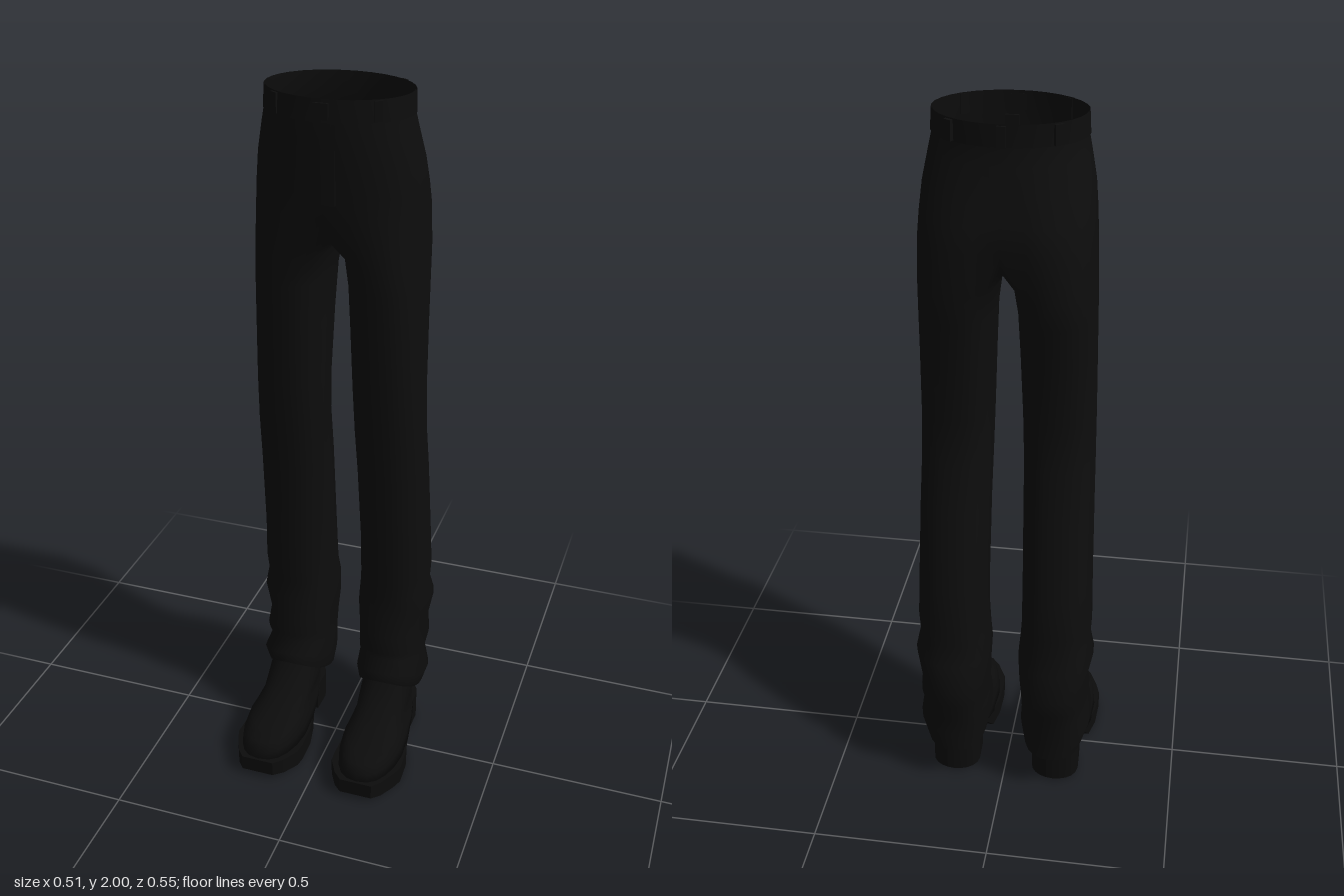
import * as THREE from 'three';
import { mergeGeometries, mergeVertices } from 'three/addons/utils/BufferGeometryUtils.js';

const cloth = new THREE.MeshStandardMaterial({ color: 0x0d0d0d, side: THREE.DoubleSide });
cloth.name = 'black cloth';
const leather = new THREE.MeshStandardMaterial({ color: 0x0c0c0c, side: THREE.DoubleSide });
leather.name = 'black leather';

const N = 24;
const pw = (v, e) => Math.sign(v) * Math.abs(v) ** e;

// Skin a list of rings of points
function loft(rings, { closed = true, caps = false } = {}) {
  const n = rings[0].length, pos = rings.flat(2), idx = [];
  const segs = closed ? n : n - 1;
  for (let j = 0; j < rings.length - 1; j++) {
    for (let i = 0; i < segs; i++) {
      const k = (i + 1) % n, a = j * n + i, b = j * n + k;
      idx.push(a, b, a + n, b, b + n, a + n);
    }
  }
  if (caps) {
    for (const j of [0, rings.length - 1]) {
      const c = pos.length / 3;
      for (let d = 0; d < 3; d++) pos.push(rings[j].reduce((s, p) => s + p[d], 0) / n);
      for (let i = 0; i < n; i++) {
        const a = j * n + i, b = j * n + (i + 1) % n;
        if (j === 0) idx.push(c, b, a); else idx.push(c, a, b);
      }
    }
  }
  const g = new THREE.BufferGeometry();
  g.setAttribute('position', new THREE.Float32BufferAttribute(pos, 3));
  g.setIndex(idx);
  g.computeVertexNormals();
  return g;
}

// Copy across x = 0 with the corner order reversed
function mirrored(geo) {
  const g = geo.clone().scale(-1, 1, 1);
  const ix = g.index.array;
  for (let i = 0; i < ix.length; i += 3) [ix[i], ix[i + 1]] = [ix[i + 1], ix[i]];
  g.computeVertexNormals();
  return g;
}

// Closed horizontal ring: inner x, outer x, front z, back z, squareness
function ring(x0, x1, zf, zb, e, yAt) {
  return Array.from({ length: N }, (_, i) => {
    const a = (i / N) * Math.PI * 2;
    const z = (zf + zb) / 2 + ((zf - zb) / 2) * pw(Math.sin(a), e);
    return [(x0 + x1) / 2 + ((x1 - x0) / 2) * pw(Math.cos(a), e), yAt(z), z];
  });
}

// Half ring of the hips, from back centre round the side to front centre
function hipHalf([y, rx, zf, zb, cleft, e]) {
  return Array.from({ length: 17 }, (_, i) => {
    const p = -Math.PI / 2 + (i / 16) * Math.PI;
    const x = i % 16 ? rx * pw(Math.cos(p), e) : 0;
    const dip = p < 0 ? cleft * Math.max(0, 1 - x / 0.09) : 0;
    return [x, y, (zf + zb) / 2 + ((zf - zb) / 2) * pw(Math.sin(p), e) + dip];
  });
}

function trouserGeometry() {
  // y, half width, front z, back z, cleft, squareness
  const hips = [
    [2.0, 0.188, 0.11, -0.168, 0, 1], [1.95, 0.19, 0.113, -0.165, 0, 1],
    [1.9, 0.2, 0.112, -0.175, 0, 0.95], [1.83, 0.213, 0.109, -0.195, 0.005, 0.88],
    [1.76, 0.219, 0.104, -0.215, 0.015, 0.8], [1.7, 0.222, 0.1, -0.228, 0.02, 0.74],
  ].map(hipHalf);
  const seat = hips[hips.length - 1];

  // Leg top: the hip line outside, and the crotch seam between the legs
  const top = Array.from({ length: N }, (_, i) => {
    if (i <= 8) return seat[i + 8];
    if (i >= 16) return seat[i - 16];
    const t = (i - 8) / 8, f = seat[16][2], b = seat[0][2];
    return [0, 1.7 - 0.09 * Math.sin(t * Math.PI) ** 0.6, (f + b) / 2 + ((f - b) / 2) * Math.cos(t * Math.PI)];
  });

  // y, inner x, outer x, front z, back z, rise of the front edge
  const legs = [
    [1.58, 0.017, 0.226, 0.09, -0.22, 0], [1.5, 0.028, 0.228, 0.083, -0.203, 0],
    [1.38, 0.033, 0.23, 0.073, -0.182, 0], [1.2, 0.039, 0.233, 0.06, -0.16, 0],
    [1.07, 0.043, 0.235, 0.05, -0.166, 0], [0.93, 0.046, 0.238, 0.033, -0.2, 0],
    [0.7, 0.049, 0.243, 0.008, -0.235, 0], [0.58, 0.049, 0.246, 0.006, -0.252, 0],
    [0.52, 0.045, 0.243, -0.007, -0.243, 0], [0.465, 0.04, 0.255, 0, -0.262, 0],
    [0.38, 0.045, 0.238, 0.004, -0.276, 0.01], [0.32, 0.048, 0.245, 0.016, -0.265, 0.02],
    [0.26, 0.05, 0.234, 0.006, -0.25, 0.055], [0.2, 0.045, 0.252, 0.03, -0.243, 0.08],
    [0.135, 0.055, 0.234, 0.032, -0.24, 0.115],
  ].map(([y, x0, x1, zf, zb, rise]) =>
    ring(x0, x1, zf, zb, 0.86, z => y + rise * ((z - zb) / (zf - zb)) ** 2));

  const half = [loft(hips, { closed: false }), loft([top, ...legs])];
  const g = mergeGeometries([...half, ...half.map(mirrored)]);
  g.deleteAttribute('normal');
  const whole = mergeVertices(g, 1e-4);
  whole.computeVertexNormals();
  return whole;
}

// Boot upper: stacked rings, the front drawing back up the instep
function upperGeometry() {
  const rows = [
    [0.4, 0.085, 0.205, -0.04, -0.2], [0.28, 0.08, 0.215, -0.015, -0.2],
    [0.23, 0.076, 0.22, 0.005, -0.198], [0.18, 0.072, 0.224, 0.065, -0.195],
    [0.145, 0.068, 0.229, 0.12, -0.192], [0.125, 0.066, 0.234, 0.21, -0.19],
    [0.112, 0.062, 0.24, 0.25, -0.19], [0.09, 0.058, 0.246, 0.268, -0.19],
    [0.055, 0.056, 0.249, 0.272, -0.19],
  ];
  return loft(rows.map(([y, x0, x1, zf, zb], j) =>
    ring(x0, x1, zf, zb, 0.82, () => y).map(([x, yy, z]) => {
      // Narrow the heel half and lift the bottom edge over the arch
      const k = THREE.MathUtils.clamp((0.12 - z) / 0.25, 0, 1) * (j > 3 ? 1 : 0);
      const lift = j > 6 ? Math.max(yy, THREE.MathUtils.clamp(0.055 + (0.02 - z) * 0.5, 0.055, 0.095)) : yy;
      return [0.15 + (x - 0.15) * (1 - 0.22 * k), lift, z];
    })), { caps: true });
}

// Sole: box sections from toe to arch (z, inner x, outer x, bottom, top)
function soleGeometry() {
  const g = loft([
    [0.278, 0.105, 0.2, 0.022, 0.068], [0.25, 0.08, 0.222, 0.016, 0.065],
    [0.2, 0.054, 0.245, 0.01, 0.062], [0.165, 0.051, 0.256, 0.006, 0.06],
    [0.09, 0.053, 0.252, 0.004, 0.06], [0.03, 0.065, 0.237, 0.006, 0.062],
    [-0.01, 0.075, 0.228, 0.05, 0.08], [-0.07, 0.082, 0.22, 0.08, 0.105],
  ].map(([z, x0, x1, b, t]) => [[x1, t, z], [x1, b, z], [x0, b, z], [x0, t, z]]), { caps: true }).toNonIndexed();
  g.computeVertexNormals();
  return g;
}

// Heel block, rounded at the back
function heelGeometry() {
  const s = new THREE.Shape();
  s.moveTo(-0.068, 0.065);
  s.lineTo(0.068, 0.065);
  s.lineTo(0.07, 0.13);
  s.bezierCurveTo(0.066, 0.205, -0.066, 0.205, -0.07, 0.13);
  s.closePath();
  return new THREE.ExtrudeGeometry(s, { depth: 0.09, bevelEnabled: false, curveSegments: 10 })
    .rotateX(-Math.PI / 2).translate(0.15, 0.012, 0);
}

export function createModel() {
  const model = new THREE.Group();
  model.name = 'trousersAndBoots';
  const add = (name, geo, mat, parent = model) => {
    const m = new THREE.Mesh(geo, mat);
    m.name = name;
    parent.add(m);
    return m;
  };

  add('trousers', trouserGeometry(), cloth);

  // Waistband, slightly proud of the hips
  const band = loft([[2.0, 0.191, 0.113, -0.171, 0, 1], [1.945, 0.194, 0.116, -0.169, 0, 1]].map(hipHalf), { closed: false });
  add('waistband', mergeGeometries([band, mirrored(band)]), cloth);

  // Belt loops around the waist
  for (const [x, z] of [[0.13, 0.075], [-0.13, 0.075], [0.13, -0.137], [-0.13, -0.137], [0, -0.172]]) {
    const loop = add('beltLoop', new THREE.BoxGeometry(0.022, 0.05, 0.01), cloth);
    loop.position.set(x, 1.973, z);
    loop.rotation.y = Math.atan2(x / 0.036, (z + 0.03) / 0.02);
  }

  // Front fastening and fly
  add('waistTab', new THREE.BoxGeometry(0.038, 0.04, 0.01), cloth).position.set(0, 1.972, 0.114);
  add('fly', new THREE.BoxGeometry(0.035, 0.2, 0.006), cloth).position.set(0.016, 1.84, 0.108);

  // Boots
  const parts = { upper: upperGeometry(), sole: soleGeometry(), heel: heelGeometry() };
  for (const side of [1, -1]) {
    const boot = new THREE.Group();
    boot.name = side > 0 ? 'leftBoot' : 'rightBoot';
    boot.scale.x = side;
    for (const [name, geo] of Object.entries(parts)) add(name, geo, leather, boot);
    model.add(boot);
  }
  return model;
}
